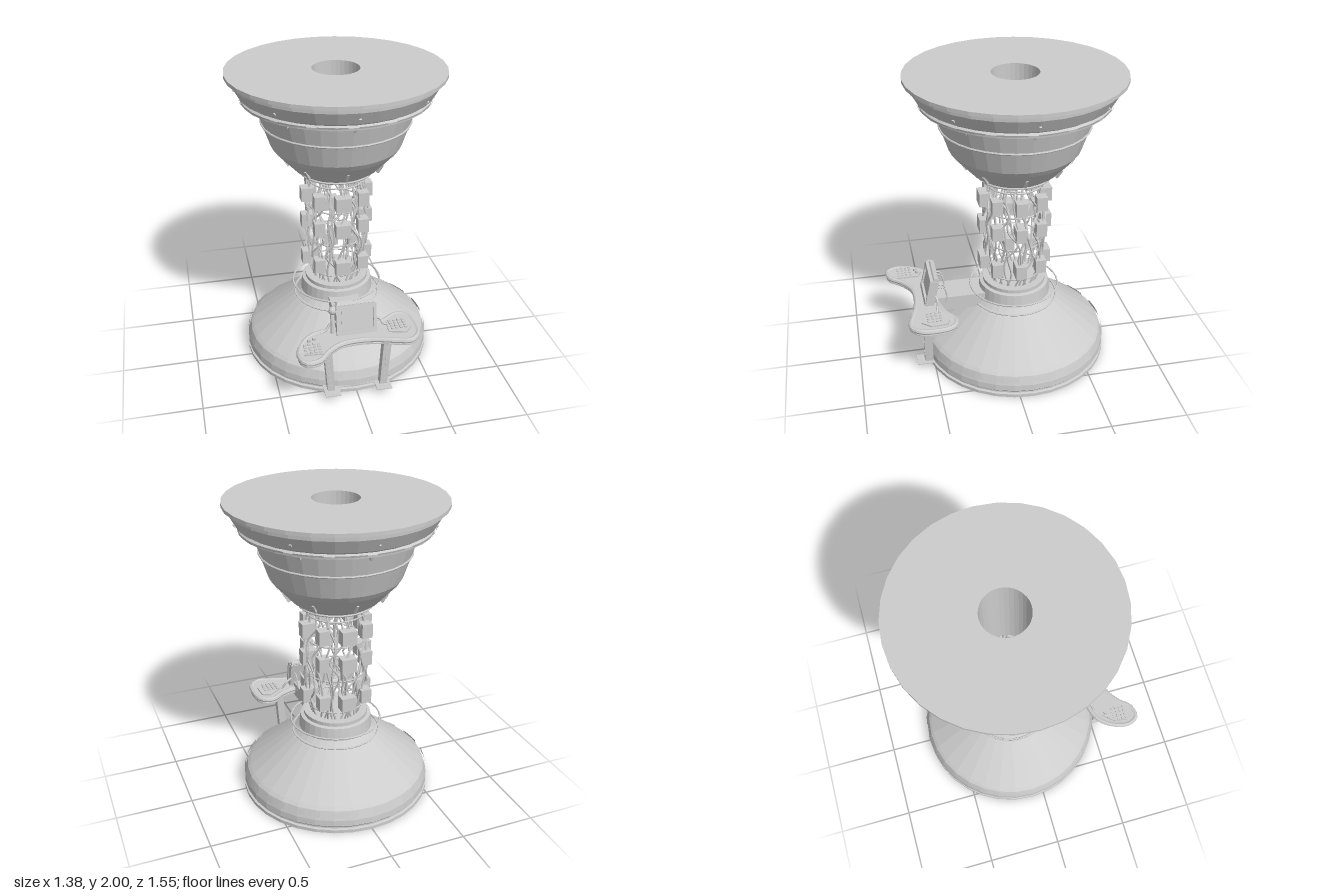
import * as THREE from 'three';

const grey = new THREE.MeshStandardMaterial({ color: 0xcccccc, flatShading: true, side: THREE.DoubleSide });
grey.name = 'plain grey';

function add(parent, name, geometry, x = 0, y = 0, z = 0) {
  const mesh = new THREE.Mesh(geometry, grey);
  mesh.name = name;
  mesh.position.set(x, y, z);
  parent.add(mesh);
  return mesh;
}
const box = (w, h, d) => new THREE.BoxGeometry(w, h, d);
const lathe = (pts, n = 32) => new THREE.LatheGeometry(pts.map(p => new THREE.Vector2(...p)), n);
const group = (parent, name) => {
  const g = new THREE.Group();
  g.name = name;
  parent.add(g);
  return g;
};
let seed = 7;
const rand = () => (seed = (seed * 16807) % 2147483647) / 2147483647;

// Flat hoop lying around the vertical axis
function hoop(parent, name, r, y, tube) {
  add(parent, name, new THREE.TorusGeometry(r, tube, 6, 32).rotateX(Math.PI / 2), 0, y);
}
// Ring of thin curved plates following a cone
function plates(parent, name, count, fill, y0, r0, y1, r1, shift = 0) {
  const step = Math.PI * 2 / count;
  for (let i = 0; i < count; i++) {
    add(parent, name, new THREE.CylinderGeometry(r1, r0, y1 - y0, 3, 1, true, (i + shift) * step, step * fill), 0, (y0 + y1) / 2);
  }
}
// Small pegs spaced evenly around the axis
function pegs(parent, name, r, y, size, tilt) {
  for (let i = 0; i < 8; i++) {
    const a = i * Math.PI / 4;
    const peg = add(parent, name, box(...size), Math.sin(a) * r, y, Math.cos(a) * r);
    peg.rotation.set(tilt, a, 0, 'YXZ');
  }
}

function buildBase(parent) {
  const g = group(parent, 'base');
  add(g, 'baseShell', lathe([[0, 0], [0.63, 0], [0.63, 0.022], [0.615, 0.026], [0.615, 0.036], [0.628, 0.05],
    [0.625, 0.09], [0.605, 0.15], [0.585, 0.17], [0.3, 0.395], [0.275, 0.41], [0.245, 0.44], [0.235, 0.525],
    [0.212, 0.53], [0.212, 0.555], [0, 0.555]]));
  plates(g, 'basePanel', 16, 0.62, 0.112, 0.627, 0.147, 0.617);
  plates(g, 'baseVent', 16, 0.7, 0.172, 0.59, 0.178, 0.583, 0.4);
  hoop(g, 'baseSeam', 0.29, 0.408, 0.006);
  hoop(g, 'guardHoop', 0.3, 0.49, 0.006);
}

function buildColumn(parent) {
  const g = group(parent, 'cableColumn');
  for (const [y, r] of [[1.26, 0.18], [1.085, 0.185], [0.845, 0.185], [0.615, 0.18]]) hoop(g, 'cableHoop', r, y, 0.005);
  // Wavy cables
  for (let i = 0; i < 36; i++) {
    const base = i / 36 * Math.PI * 2, pts = [];
    for (let k = 0; k <= 7; k++) {
      const end = k === 0 || k === 7;
      const a = base + (end ? 0 : (rand() - 0.5) * 0.5);
      const r = 0.155 + (end ? 0 : 0.05 * Math.sin(Math.PI * k / 7) + (rand() - 0.5) * 0.025);
      pts.push(new THREE.Vector3(Math.sin(a) * r, 0.54 + 0.8 * k / 7, Math.cos(a) * r));
    }
    add(g, 'cable', new THREE.TubeGeometry(new THREE.CatmullRomCurve3(pts), 28, 0.0065, 5));
  }
  // Three rows of junction boxes
  for (const y of [1.168, 0.977, 0.7]) {
    for (let i = 0; i < 8; i++) {
      const a = i * Math.PI / 4;
      const w = i % 2 ? 0.07 : 0.1;
      const r = i % 4 === 2 ? 0.188 : 0.205;
      add(g, 'junctionBox', box(w, 0.094, 0.07), Math.sin(a) * r, y, Math.cos(a) * r);
    }
  }
}

function buildBowl(parent) {
  const g = group(parent, 'upperBowl');
  add(g, 'bowlShell', lathe([[0.15, 1.318], [0.2, 1.318], [0.21, 1.335], [0.24, 1.335], [0.285, 1.365], [0.39, 1.48],
    [0.42, 1.52], [0.47, 1.67], [0.505, 1.79], [0.535, 1.82], [0.595, 1.822], [0.597, 1.838], [0.585, 1.85],
    [0.61, 1.865], [0.655, 1.945], [0.657, 1.975], [0.6875, 1.977], [0.6875, 2], [0.15, 2], [0.15, 1.318]]));
  hoop(g, 'bowlBand', 0.474, 1.67, 0.007);
  hoop(g, 'bowlCollar', 0.24, 1.328, 0.007);
  plates(g, 'bowlSlot', 16, 0.55, 1.468, 0.384, 1.475, 0.391);
  plates(g, 'rimSlot', 16, 0.75, 1.836, 0.605, 1.847, 0.609);
  pegs(g, 'lowerFin', 0.327, 1.405, [0.014, 0.07, 0.018], 0.55);
  pegs(g, 'upperFin', 0.522, 1.805, [0.016, 0.045, 0.03], 0.4);
  pegs(g, 'rimStud', 0.632, 1.9, [0.014, 0.014, 0.012], 0.5);
}

// Rounded outline of the console top, in x and z
const outline = [[-0.36, 0.75], [-0.28, 0.74], [-0.21, 0.665], [-0.12, 0.605], [0, 0.59], [0.12, 0.605], [0.22, 0.635],
  [0.32, 0.655], [0.38, 0.6], [0.393, 0.5], [0.37, 0.39], [0.3, 0.36], [0.2, 0.42], [0.1, 0.45], [-0.1, 0.45],
  [-0.2, 0.45], [-0.3, 0.49], [-0.365, 0.57], [-0.395, 0.68]];

function slab(points, depth) {
  const shape = new THREE.Shape(points.map(p => new THREE.Vector2(p.x, p.z)));
  return new THREE.ExtrudeGeometry(shape, { depth, bevelEnabled: false }).rotateX(Math.PI / 2);
}

function buildConsole(parent) {
  const g = group(parent, 'console');
  const curve = new THREE.CatmullRomCurve3(outline.map(([x, z]) => new THREE.Vector3(x, 0, z)), true);
  add(g, 'consoleTop', slab(curve.getPoints(72), 0.042), 0, 0.452);
  add(g, 'paddedRim', new THREE.TubeGeometry(curve, 72, 0.017, 8, true), 0, 0.44);
  add(g, 'lowerRim', new THREE.TubeGeometry(curve, 72, 0.01, 6, true), 0, 0.416);

  // Raised key panels with rows of buttons
  const panels = [
    { pts: [[-0.37, 0.69], [-0.35, 0.59], [-0.29, 0.52], [-0.24, 0.55], [-0.24, 0.7]], x: -0.35, z: 0.6 },
    { pts: [[0.2, 0.56], [0.21, 0.46], [0.3, 0.4], [0.355, 0.42], [0.36, 0.53], [0.31, 0.59]], x: 0.23, z: 0.46 }];
  for (const p of panels) {
    add(g, 'keyPanel', slab(p.pts.map(([x, z]) => ({ x, z })), 0.012), 0, 0.462);
    for (let i = 0; i < 4; i++) {
      for (let j = 0; j < 4; j++) add(g, 'button', box(0.017, 0.012, 0.015), p.x + i * 0.029, 0.466, p.z + j * 0.027);
    }
  }
  for (const [x, z] of [[-0.315, 0.562], [-0.28, 0.55]]) {
    add(g, 'dial', new THREE.CylinderGeometry(0.013, 0.013, 0.02, 10), x, 0.468, z);
  }

  // Tilted display with a raised frame
  const screen = group(g, 'display');
  screen.position.set(0, 0.45, 0.505);
  screen.rotation.x = -0.22;
  add(screen, 'displayBody', box(0.25, 0.19, 0.045), 0, 0.095, 0);
  for (const s of [-1, 1]) add(screen, 'displaySide', box(0.02, 0.19, 0.02), s * 0.12, 0.095, 0.028);
  add(screen, 'displayTop', box(0.25, 0.028, 0.026), 0, 0.18, 0.026);
  add(screen, 'displayBottom', box(0.25, 0.03, 0.028), 0, 0.015, 0.028);
  add(screen, 'displayCap', new THREE.CylinderGeometry(0.018, 0.018, 0.24, 8).rotateZ(Math.PI / 2), 0, 0.195, 0);
  add(screen, 'screenGlass', box(0.19, 0.12, 0.006), 0, 0.1, 0.026);
  add(screen, 'sideHandle', new THREE.CylinderGeometry(0.013, 0.016, 0.15, 8), -0.15, 0.09, 0.01);
  add(screen, 'handleKnob', new THREE.SphereGeometry(0.027, 10, 8), -0.147, 0.165, 0.01);

  // Wire loops behind the display
  for (const s of [-1, 1]) {
    for (const x of [0.06, 0.1]) {
      const loop = [[0.57, 0.455], [0.565, 0.41], [0.5, 0.39], [0.45, 0.4]];
      const path = new THREE.CatmullRomCurve3(loop.map(([y, z]) => new THREE.Vector3(s * x, y, z)));
      add(g, 'rearWire', new THREE.TubeGeometry(path, 12, 0.005, 5));
    }
    const side = new THREE.CatmullRomCurve3([[0.12, 0.52, 0.47], [0.16, 0.5, 0.46], [0.19, 0.46, 0.47], [0.24, 0.452, 0.48]]
      .map(([x, y, z]) => new THREE.Vector3(s * x, y, z)));
    add(g, 'sideWire', new THREE.TubeGeometry(side, 12, 0.008, 6));
  }

  // Beam to the base, splayed legs and feet
  add(g, 'supportBeam', box(0.2, 0.1, 0.34), 0, 0.437, 0.3);
  for (const s of [-1, 1]) {
    const leg = new THREE.Shape([[0.15, 0.05], [0.197, 0.05], [0.225, 0.42], [0.172, 0.42]]
      .map(([x, y]) => new THREE.Vector2(s * x, y)));
    add(g, 'consoleLeg', new THREE.ExtrudeGeometry(leg, { depth: 0.055, bevelEnabled: false }), 0, 0, 0.512);
    for (let i = 0; i < 8; i++) {
      add(g, 'legRivet', box(0.012, 0.012, 0.006), s * (0.178 + i * 0.003), 0.09 + i * 0.04, 0.569);
    }
    add(g, 'footPlate', box(0.1, 0.006, 0.12), s * 0.17, 0.047, 0.56);
  }
  add(g, 'footBar', box(0.36, 0.006, 0.03), 0, 0.047, 0.525);
}

export function createModel() {
  const model = new THREE.Group();
  model.name = 'controlPillar';
  const pillar = group(model, 'pillar');
  pillar.position.z = -0.0875;
  buildBase(pillar);
  buildColumn(pillar);
  buildBowl(pillar);
  buildConsole(model);
  return model;
}
